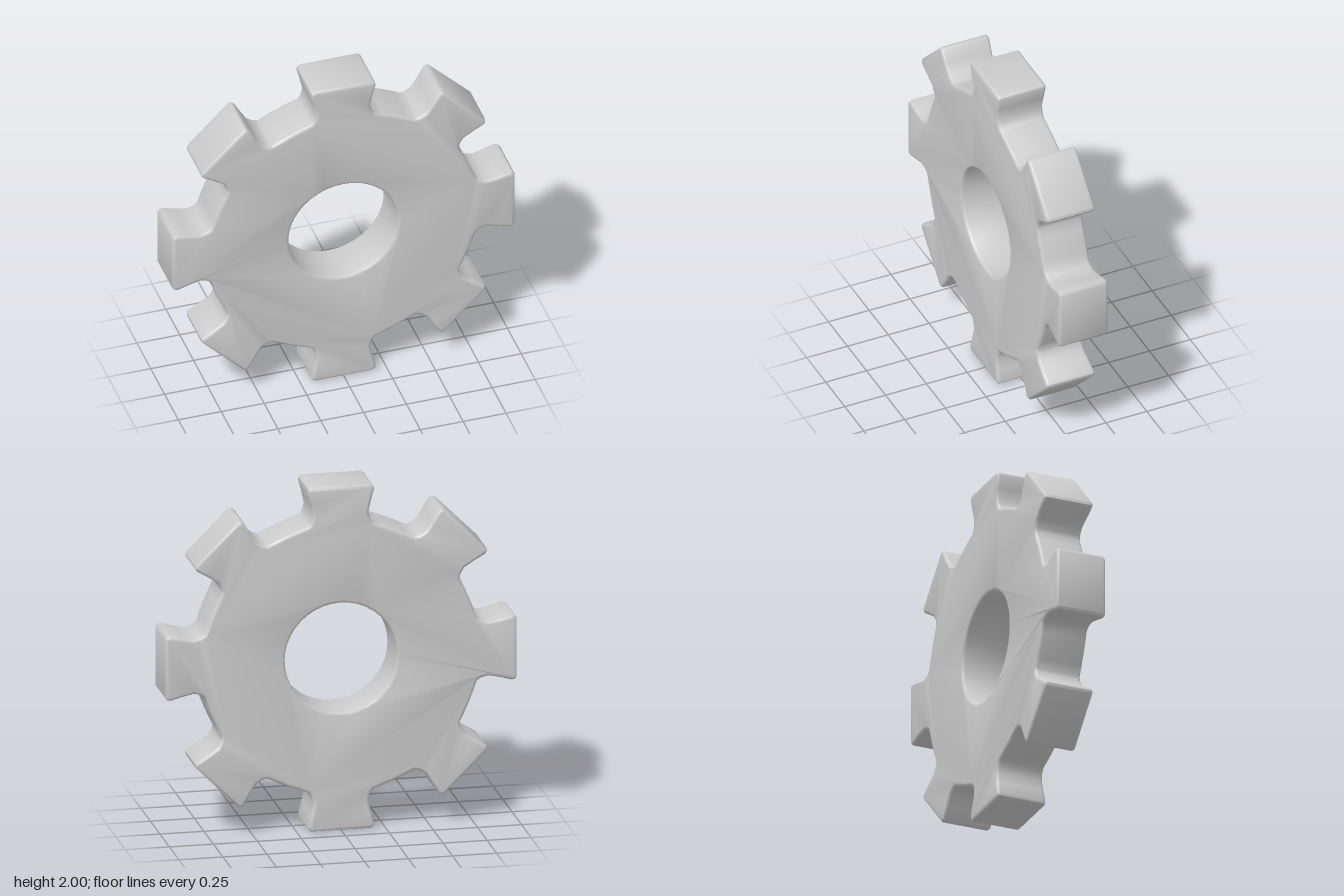
import * as THREE from 'three';
import { toCreasedNormals } from 'three/addons/utils/BufferGeometryUtils.js';

const TEETH = 8;
const BEVEL = 0.018;
const HALF = 0.139; // half thickness of the disc

// Right half of one flared tooth, from the root valley up to the tip: [across, radial]
const halfTooth = [
  [0.235, 0.755], [0.183, 0.773], [0.168, 0.795], [0.157, 0.835],
  [0.17, 0.9], [0.188, 0.968], [0.185, 0.986], [0.17, 0.998],
];

function gearShape() {
  const tooth = [
    ...halfTooth,
    ...halfTooth.slice().reverse().map(([x, y]) => [-x, y]),
  ];
  const points = [];
  for (let i = 0; i < TEETH; i++) {
    const a = (i / TEETH) * Math.PI * 2;
    const c = Math.cos(a), s = Math.sin(a);
    for (const [x, y] of tooth) points.push(new THREE.Vector2(x * c - y * s, x * s + y * c));
    // middle of the valley between two teeth
    const m = a + Math.PI / TEETH;
    points.push(new THREE.Vector2(-Math.sin(m) * 0.789, Math.cos(m) * 0.789));
  }
  const shape = new THREE.Shape(points);
  const bore = new THREE.Path();
  bore.absarc(0, 0, 0.318, 0, Math.PI * 2, true);
  shape.holes.push(bore);
  return shape;
}

export function createModel() {
  const group = new THREE.Group();
  group.name = 'gear';

  const depth = 2 * (HALF - BEVEL);
  const geometry = new THREE.ExtrudeGeometry(gearShape(), {
    depth,
    curveSegments: 20,
    bevelEnabled: true,
    bevelThickness: BEVEL,
    bevelSize: BEVEL,
    bevelOffset: -BEVEL,
    bevelSegments: 3,
  });
  geometry.translate(0, 0, -depth / 2);

  // Teeth thicken slightly towards their tips
  const pos = geometry.attributes.position;
  for (let i = 0; i < pos.count; i++) {
    const r = Math.hypot(pos.getX(i), pos.getY(i));
    pos.setZ(i, pos.getZ(i) * (1 + 0.07 * THREE.MathUtils.smoothstep(r, 0.78, 0.98)));
  }

  const material = new THREE.MeshStandardMaterial({ color: 0xcccccc });
  const wheel = new THREE.Mesh(toCreasedNormals(geometry, 0.7), material);
  wheel.name = 'toothedWheel';
  wheel.position.y = 1;
  group.add(wheel);
  return group;
}
